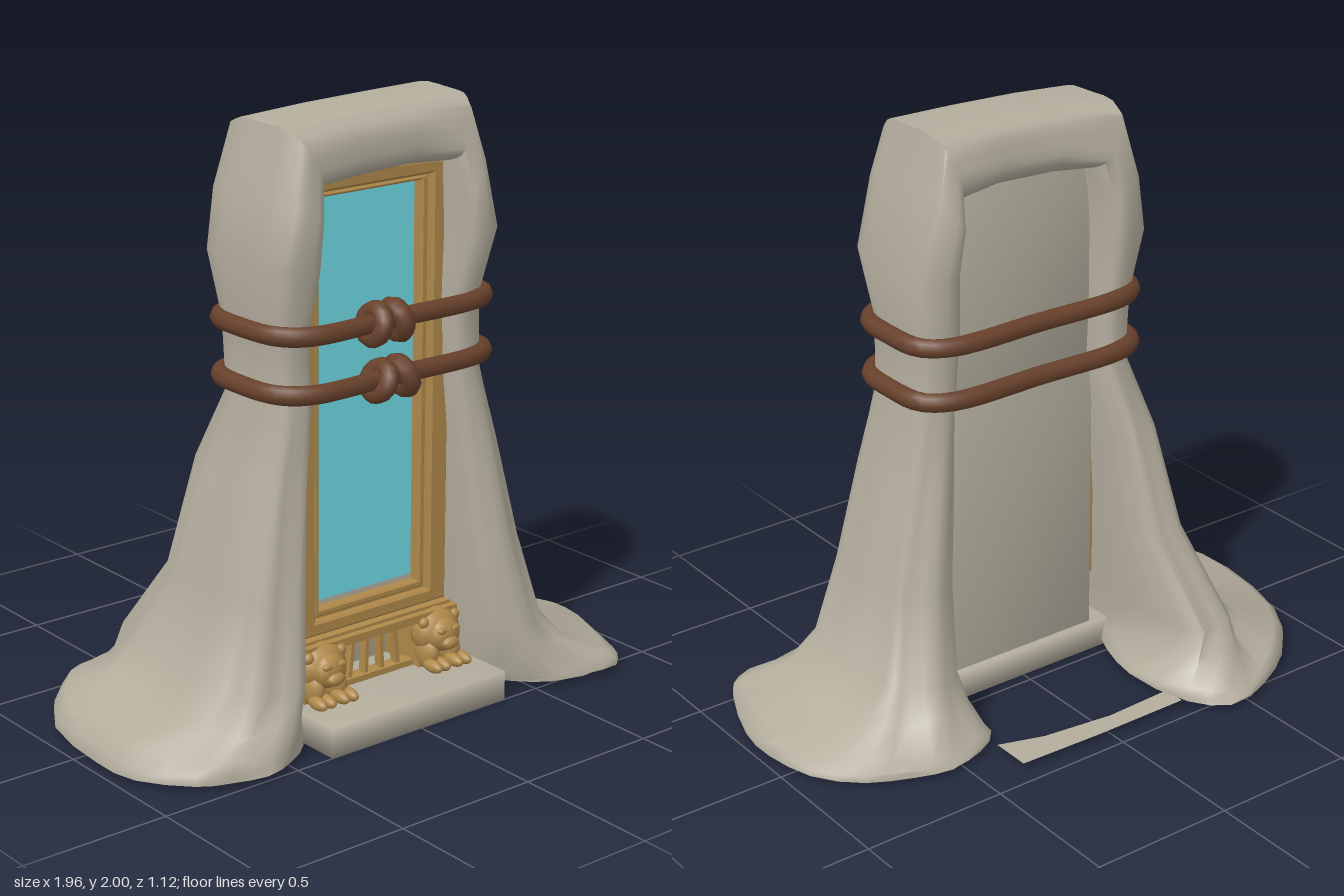
import * as THREE from 'three';
import { mergeVertices, toCreasedNormals } from 'three/addons/utils/BufferGeometryUtils.js';

const mat = (name, color, side = THREE.FrontSide) => {
  const m = new THREE.MeshStandardMaterial({ color, side });
  m.name = name;
  return m;
};

export function createModel() {
  const root = new THREE.Group();
  root.name = 'drapedMirror';
  const grey = mat('paleGrey', 0xb3ad9d, THREE.DoubleSide);
  const gold = mat('oldGold', 0xaf884a);
  const glass = mat('blueGlass', 0x70d9e3);
  const hemp = mat('brownRope', 0x68412b);

  const add = (name, geo, material, x = 0, y = 0, z = 0, parent = root) => {
    const m = new THREE.Mesh(geo, material);
    m.name = name;
    m.position.set(x, y, z);
    parent.add(m);
    return m;
  };
  // box given by its limits
  const box = (name, material, x0, x1, y0, y1, z0, z1) =>
    add(name, new THREE.BoxGeometry(x1 - x0, y1 - y0, z1 - z0), material,
      (x0 + x1) / 2, (y0 + y1) / 2, (z0 + z1) / 2);
  // box whose shading runs smoothly over its edges
  const softBox = (...args) => {
    const m = box(...args);
    m.geometry.deleteAttribute('normal');
    m.geometry.deleteAttribute('uv');
    m.geometry = mergeVertices(m.geometry);
    m.geometry.computeVertexNormals();
  };

  // Plinth and back board
  softBox('plinth', grey, -0.365, 0.36, 0, 0.1, 0.04, 0.5);
  softBox('lowerBackBoard', grey, -0.3, 0.29, 0.1, 1.1, 0.06, 0.13);
  softBox('upperBackBoard', grey, -0.29, 0.285, 1.1, 1.78, 0.067, 0.13);

  // Stepped picture frame: nested outlines with a slightly arched top
  const frameLayer = (name, o, h, z0, z1, bevel) => {
    const s = new THREE.Shape();
    s.moveTo(o[0], o[2]);
    s.lineTo(o[1], o[2]);
    s.lineTo(o[1], o[3]);
    s.quadraticCurveTo(0, o[3] + o[4], o[0], o[3] - o[4] * 0.5);
    s.closePath();
    const p = new THREE.Path();
    p.moveTo(h[0], h[2]);
    p.lineTo(h[0], h[3]);
    p.lineTo(h[1], h[3]);
    p.lineTo(h[1], h[2]);
    p.closePath();
    s.holes.push(p);
    const g = new THREE.ExtrudeGeometry(s, {
      depth: z1 - z0 - bevel, bevelEnabled: bevel > 0, bevelSize: bevel,
      bevelOffset: -bevel, bevelThickness: bevel, bevelSegments: 1, curveSegments: 8,
    });
    add(name, g, gold, 0, 0, z0);
  };
  frameLayer('frameBody', [-0.325, 0.312, 0.28, 1.785, 0.03], [-0.215, 0.205, 0.375, 1.725], 0.08, 0.235, 0);
  frameLayer('frameMoulding', [-0.318, 0.306, 0.3, 1.78, 0.03], [-0.24, 0.23, 0.348, 1.742], 0.23, 0.262, 0.008);
  frameLayer('innerMoulding', [-0.232, 0.222, 0.355, 1.735, 0], [-0.212, 0.202, 0.378, 1.722], 0.23, 0.243, 0.005);
  box('glassBacking', grey, -0.22, 0.21, 0.37, 1.73, 0.18, 0.2);
  box('mirrorGlass', glass, -0.208, 0.198, 0.395, 1.72, 0.199, 0.207);
  box('bottomRail', gold, -0.32, 0.315, 0.262, 0.29, 0.1, 0.31);
  box('bottomLedge', gold, -0.305, 0.305, 0.285, 0.3, 0.1, 0.285);

  // Grille between the feet
  box('grilleSill', gold, -0.16, 0.16, 0.1, 0.12, 0.22, 0.27);
  for (let i = 0; i < 4; i++) {
    const bar = add('grilleBar', new THREE.BoxGeometry(0.014, 0.15, 0.03), gold, -0.09 + i * 0.062, 0.19, 0.245);
    bar.rotation.z = (i - 1.5) * 0.08;
  }

  // Lion feet
  for (const x of [-0.245, 0.235]) {
    const foot = new THREE.Group();
    foot.name = 'lionFoot';
    foot.position.set(x, 0, -0.01);
    root.add(foot);
    const ball = (name, px, py, pz, sx, sy, sz) =>
      add(name, new THREE.SphereGeometry(1, 12, 8), gold, px, py, pz, foot).scale.set(sx, sy, sz);
    add('legBlock', new THREE.BoxGeometry(0.15, 0.17, 0.18), gold, 0, 0.185, 0.22, foot);
    ball('mane', 0, 0.215, 0.3, 0.092, 0.08, 0.065);
    ball('face', 0, 0.212, 0.345, 0.062, 0.058, 0.04);
    ball('muzzle', 0, 0.192, 0.375, 0.034, 0.024, 0.024);
    for (const s of [-1, 1]) {
      ball('ear', s * 0.065, 0.258, 0.32, 0.02, 0.02, 0.018);
      ball('brow', s * 0.027, 0.236, 0.37, 0.02, 0.012, 0.012);
      ball('foreleg', s * 0.045, 0.15, 0.31, 0.035, 0.06, 0.055);
      for (const t of [-1, 1]) ball('paw', s * 0.045 + t * 0.018, 0.12, 0.365, 0.021, 0.022, 0.045);
    }
  }

  // Cloth: rings run from the inner edge round the front, outer side and back
  const N = 16, M = 32;
  const pw = (v) => Math.sign(v) * Math.abs(v) ** 0.6;
  const ring = ([xi, yi, xo, yo, zf, zb]) => Array.from({ length: N }, (_, k) => {
    const a = (k / N) * Math.PI * 2, u = 0.5 - 0.5 * pw(Math.cos(a));
    const z = (zf + zb) / 2 + pw(Math.sin(a)) * (zf - zb) / 2;
    // the outer side is narrower than the lips
    return new THREE.Vector3(xi + (xo - xi) * u, yi + (yo - yi) * u, 0.16 + (z - 0.16) * (1.03 - 0.16 * u * u));
  });
  // rings of the spread hem, from the floor up to the lowest column ring
  const hem = (print, base, rim) => {
    const b = ring(base);
    return [[1, 0.02], [0.985, rim * 0.6], [0.85, rim], [0.32, 0.125]].map(([t, y], j) =>
      print.map(([x, z], k) => {
        const low = j === 1 || j === 2 ? 0.55 + 0.45 * Math.max(0, -Math.cos((k / N) * Math.PI * 2)) : 1;
        return new THREE.Vector3(b[k].x + (x - b[k].x) * t,
          y * low + (j ? 0.012 * Math.sin(k * 2.4 + j * 1.3) : 0), b[k].z + (z - b[k].z) * t);
      }));
  };
  const leftPrint = [[-0.37, 0.12], [-0.37, 0.3], [-0.4, 0.4], [-0.5, 0.47], [-0.62, 0.51], [-0.74, 0.48],
    [-0.84, 0.43], [-0.96, 0.28], [-0.98, 0.1], [-0.94, -0.2], [-0.77, -0.42], [-0.6, -0.525],
    [-0.41, -0.565], [-0.31, -0.46], [-0.27, -0.2], [-0.31, -0.03]];
  const rightPrint = [[0.37, 0.12], [0.38, 0.31], [0.45, 0.44], [0.55, 0.525], [0.68, 0.55], [0.82, 0.56],
    [0.885, 0.48], [0.97, 0.26], [0.98, 0.1], [0.94, -0.08], [0.82, -0.22], [0.68, -0.29],
    [0.55, -0.32], [0.42, -0.29], [0.32, -0.21], [0.33, -0.03]];
  // inner x, inner y, outer x, outer y, front z, back z
  const left = [
    [-0.36, 0.22, -0.635, 0.22, 0.45, -0.42], [-0.33, 0.5, -0.57, 0.5, 0.4, -0.2],
    [-0.31, 0.85, -0.49, 0.87, 0.36, -0.12], [-0.28, 1.1, -0.425, 1.1, 0.33, -0.02],
    [-0.29, 1.34, -0.43, 1.33, 0.33, -0.03], [-0.29, 1.53, -0.475, 1.55, 0.4, -0.06],
    [-0.28, 1.68, -0.435, 1.75, 0.4, -0.07], [-0.265, 1.765, -0.38, 1.97, 0.37, -0.04]];
  const top = [[-0.12, 1.775, -0.15, 1.99, 0.35, -0.005], [0.1, 1.785, 0.1, 1.998, 0.35, -0.01]];
  const right = [
    [0.265, 1.775, 0.335, 2.0, 0.36, -0.04], [0.27, 1.68, 0.375, 1.82, 0.4, -0.07],
    [0.275, 1.55, 0.445, 1.57, 0.4, -0.06], [0.265, 1.34, 0.42, 1.34, 0.33, -0.03],
    [0.275, 1.1, 0.425, 1.1, 0.33, -0.01], [0.3, 0.85, 0.485, 0.85, 0.37, -0.05],
    [0.325, 0.5, 0.56, 0.5, 0.42, -0.08], [0.355, 0.22, 0.635, 0.22, 0.48, -0.16]];
  const rings = [
    ...hem(leftPrint, left[0], 0.1), ...[...left, ...top, ...right].map(ring),
    ...hem(rightPrint, right[right.length - 1], 0.08).reverse()];

  const pos = [], idx = [];
  const centres = rings.map((r, j) => {
    const c = r.reduce((s, p) => s.add(p), new THREE.Vector3()).divideScalar(N);
    const curve = new THREE.CatmullRomCurve3(r, true);
    const depth = c.y > 0.1 && c.y < 1 ? 0.05 : c.y > 1.4 ? 0.02 : 0.005;
    for (let k = 0; k < M; k++) {
      const p = curve.getPoint(k / M);
      const outer = Math.max(0, Math.sin((k / M) * Math.PI)); // keep the inner edge clean
      const f = 1 - depth * outer * (1 + Math.sin(k * 1.55 + 0.25 * j));
      p.sub(c).multiplyScalar(f).add(c);
      pos.push(p.x, p.y, p.z);
    }
    return c;
  });
  for (let j = 0; j < rings.length - 1; j++) {
    for (let k = 0; k < M; k++) {
      const a = j * M + k, b = j * M + (k + 1) % M;
      idx.push(a, a + M, b, b, a + M, b + M);
    }
  }
  // undersides of both hems
  [0, rings.length - 1].forEach((j, end) => {
    const c = pos.length / 3;
    pos.push(centres[j].x, 0.02, centres[j].z);
    for (let k = 0; k < M; k++) {
      const a = j * M + k, b = j * M + (k + 1) % M;
      idx.push(c, end ? b : a, end ? a : b);
    }
  });
  const drape = new THREE.BufferGeometry();
  drape.setAttribute('position', new THREE.Float32BufferAttribute(pos, 3));
  drape.setIndex(idx);
  add('drape', toCreasedNormals(drape, 1), grey);

  // Loose strip of cloth on the floor behind
  const strip = new THREE.Shape([[-0.3, 0.36], [-0.05, 0.37], [0.2, 0.34], [0.355, 0.29], [0.355, 0.43], [0.05, 0.44], [-0.3, 0.44]]
    .map(([x, y]) => new THREE.Vector2(x, y)));
  add('floorStrip', new THREE.ShapeGeometry(strip).rotateX(-Math.PI / 2), grey, 0, 0.02, 0);

  // Two rope loops, each with a pair of knot turns
  const loop = [[-0.34, 0.365], [0, 0.36], [0.34, 0.35], [0.42, 0.29], [0.435, 0.15], [0.42, 0.01],
    [0.34, -0.045], [0, -0.05], [-0.34, -0.045], [-0.42, 0.01], [-0.44, 0.15], [-0.42, 0.3]];
  for (const [y, knots] of [[1.335, [[-0.09, -0.28], [-0.003, 0.2]]], [1.15, [[-0.07, -0.45], [0.022, 0.3]]]]) {
    const path = new THREE.CatmullRomCurve3(loop.map(([x, z]) => new THREE.Vector3(x, y, z)), true);
    add('rope', new THREE.TubeGeometry(path, 72, 0.032, 8, true), hemp);
    for (const [x, tilt] of knots) {
      const knot = add('knotTurn', new THREE.TorusGeometry(0.044, 0.032, 8, 16).rotateY(Math.PI / 2), hemp, x, y - 0.005, 0.36);
      knot.rotation.z = tilt;
    }
  }
  return root;
}
